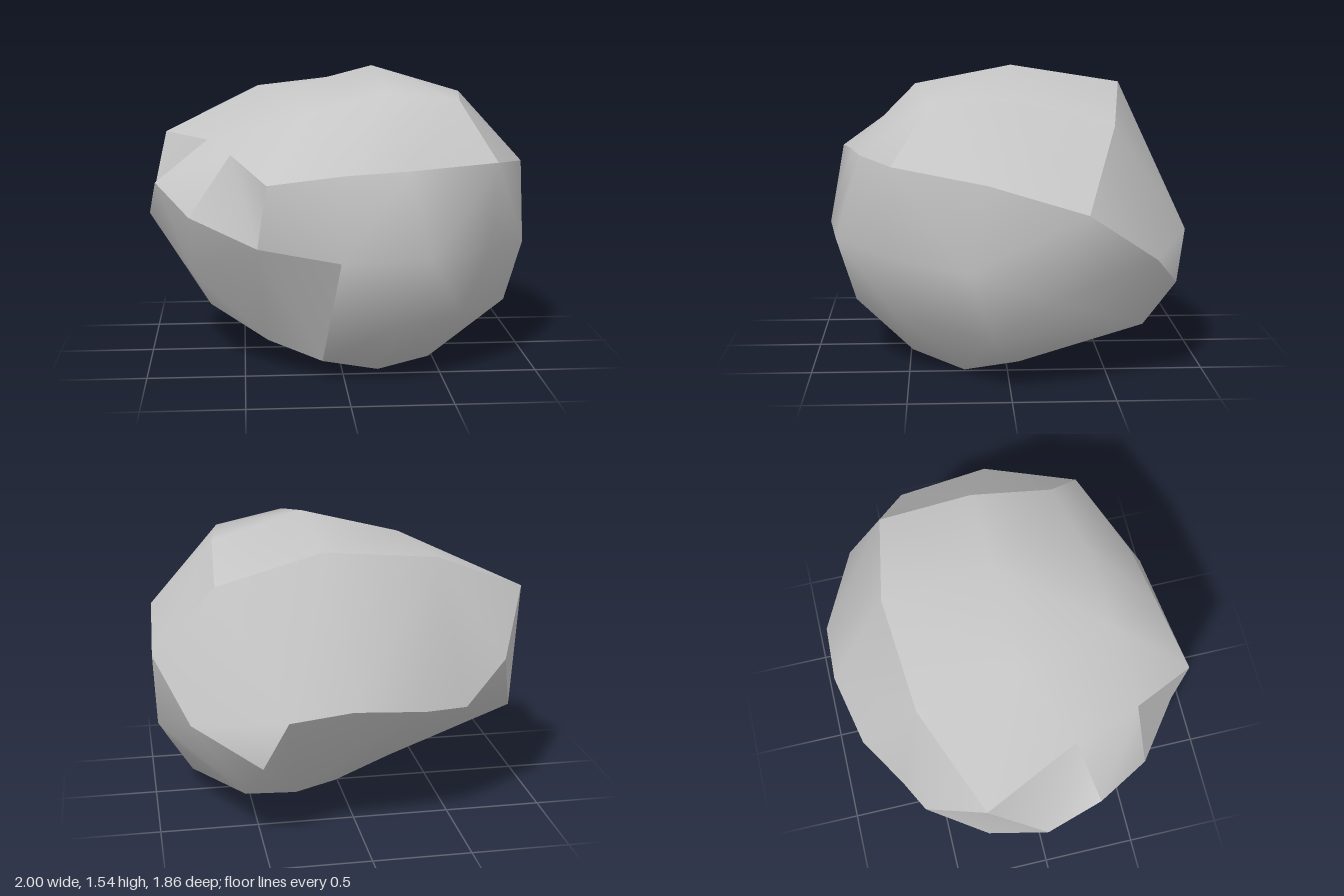
import * as THREE from 'three';
import { mergeVertices } from 'three/addons/utils/BufferGeometryUtils.js';

// Corners where several broken faces meet
const leftPeak = [-0.92, 1.16, -0.31], leftTip = [-1, 0.76, -0.01], leftBrow = [-0.95, 0.97, 0.27];
const leftSaddle = [-0.68, 1.18, 0.2];
const notchTop = [-0.56, 1.15, 0.55], notchOuter = [-0.77, 0.84, 0.56];
const notchInner = [-0.435, 0.73, 0.81], notchLip = [-0.39, 1.05, 0.88];
const nose = [-0.04, 0.68, 0.93], chin = [-0.11, 0.1, 0.59];
const rightFront = [0.77, 1.1, 0.57], rightMid = [0.98, 1.04, 0.11], rightBack = [1, 0.9, -0.36];
const shoulderFront = [0.6, 1.39, 0.38], shoulderMid = [0.66, 1.4, -0.03], shoulderBack = [0.69, 1.28, -0.51];
const backCorner = [0.84, 0.65, -0.71], backFoot = [0.51, 0.46, -0.86], backRight = [0.39, 0.71, -0.92];
const heel = [-0.88, 0.5, -0.3], leftBack = [-0.76, 0.86, -0.6];
const leftCheek = [-0.76, 0.51, 0.35], leftKeel = [-0.68, 0.27, 0.07], keel = [-0.38, 0.16, 0.4];
const rearFoot = [0.58, 0.26, -0.68], sideFoot = [0.8, 0.14, -0.04];

// Rows of corners running across the rock
const crest = [leftPeak, [-0.41, 1.39, -0.54], [0.17, 1.45, -0.59], shoulderBack];
const crown = [leftSaddle, [-0.32, 1.41, -0.02], [0.19, 1.54, -0.03], shoulderMid];
const brow = [notchTop, [-0.18, 1.34, 0.5], [0.23, 1.45, 0.46], shoulderFront];
const ridge = [notchLip, [-0.02, 1.08, 0.81], [0.3, 1.09, 0.75], rightFront];
const backBelt = [leftBack, [-0.54, 0.65, -0.69], [-0.29, 0.7, -0.85], [0.08, 0.75, -0.93], backRight];
const frontBelt = [
  nose, [0.4, 0.68, 0.87], [0.73, 0.65, 0.59], [0.98, 0.62, 0.2], [0.98, 0.48, -0.2], backCorner,
];
const lowFront = [chin, [0.25, 0.32, 0.78], [0.59, 0.33, 0.57], [0.91, 0.27, 0.08], rearFoot];
const lowBack = [heel, [-0.27, 0.17, -0.11], [0.06, 0.12, -0.28], [0.31, 0.19, -0.55], rearFoot];
const base = [chin, [0.18, 0.02, 0.49], [0.48, 0, 0.22], sideFoot];

// Each patch is smooth inside and sharp at its border; it joins pairs of rows
const patches = {
  top: [[crest, crown], [crown, brow], [brow, ridge], [[leftBrow], [leftSaddle, notchTop, notchOuter]]],
  leftHollow: [[[leftSaddle], [leftPeak, leftTip, leftBrow]]],
  notch: [[[notchTop, notchLip], [notchOuter, notchInner]]],
  rightFacet: [[[shoulderFront, shoulderMid, shoulderBack], [rightFront, rightMid, rightBack]]],
  back: [[crest, backBelt], [[backCorner], [backFoot, backRight, shoulderBack, rightBack]]],
  backLeftFacet: [[[leftPeak, leftTip], [leftBack, heel]]],
  frontLeftFace: [
    [[leftBrow, notchOuter, notchInner, nose], [leftTip, leftCheek, keel, chin]],
    [[leftTip, leftCheek, keel], [heel, leftKeel, keel]],
  ],
  lowerBody: [
    [[...ridge, rightMid, rightBack], [notchInner, ...frontBelt]],
    [[...frontBelt, backFoot], lowFront],
    [lowFront, [...base, rearFoot]],
    [[...backBelt, backFoot], lowBack],
    [lowBack, [leftKeel, keel, ...base]],
  ],
};

// Fills the strip between two rows, always taking the shorter diagonal
function zipRows(rowA, rowB, out) {
  const a = rowA.map((p) => new THREE.Vector3(...p));
  const b = rowB.map((p) => new THREE.Vector3(...p));
  const centre = new THREE.Vector3(0, 0.75, 0);
  let i = 0, j = 0;
  while (i < a.length - 1 || j < b.length - 1) {
    const stepA = j === b.length - 1
      || (i < a.length - 1 && a[i + 1].distanceTo(b[j]) < b[j + 1].distanceTo(a[i]));
    const tri = new THREE.Triangle(a[i], b[j], stepA ? a[i + 1] : b[j + 1]);
    if (stepA) i++; else j++;
    if (tri.getArea() < 1e-6) continue;
    // Face every triangle away from the middle of the rock
    const outward = tri.getMidpoint(new THREE.Vector3()).sub(centre);
    const flip = tri.getNormal(new THREE.Vector3()).dot(outward) < 0;
    for (const p of flip ? [tri.a, tri.c, tri.b] : [tri.a, tri.b, tri.c]) out.push(p.x, p.y, p.z);
  }
}

function patchGeometry(strips) {
  const corners = [];
  for (const [rowA, rowB] of strips) zipRows(rowA, rowB, corners);
  const geometry = new THREE.BufferGeometry();
  geometry.setAttribute('position', new THREE.Float32BufferAttribute(corners, 3));
  const merged = mergeVertices(geometry);
  merged.computeVertexNormals();
  return merged;
}

export function createModel() {
  const group = new THREE.Group();
  group.name = 'rock';
  const stone = new THREE.MeshStandardMaterial({ color: 0xc6c6c6 });
  stone.name = 'grey stone';

  for (const [name, strips] of Object.entries(patches)) {
    const mesh = new THREE.Mesh(patchGeometry(strips), stone);
    mesh.name = name;
    group.add(mesh);
  }
  return group;
}
